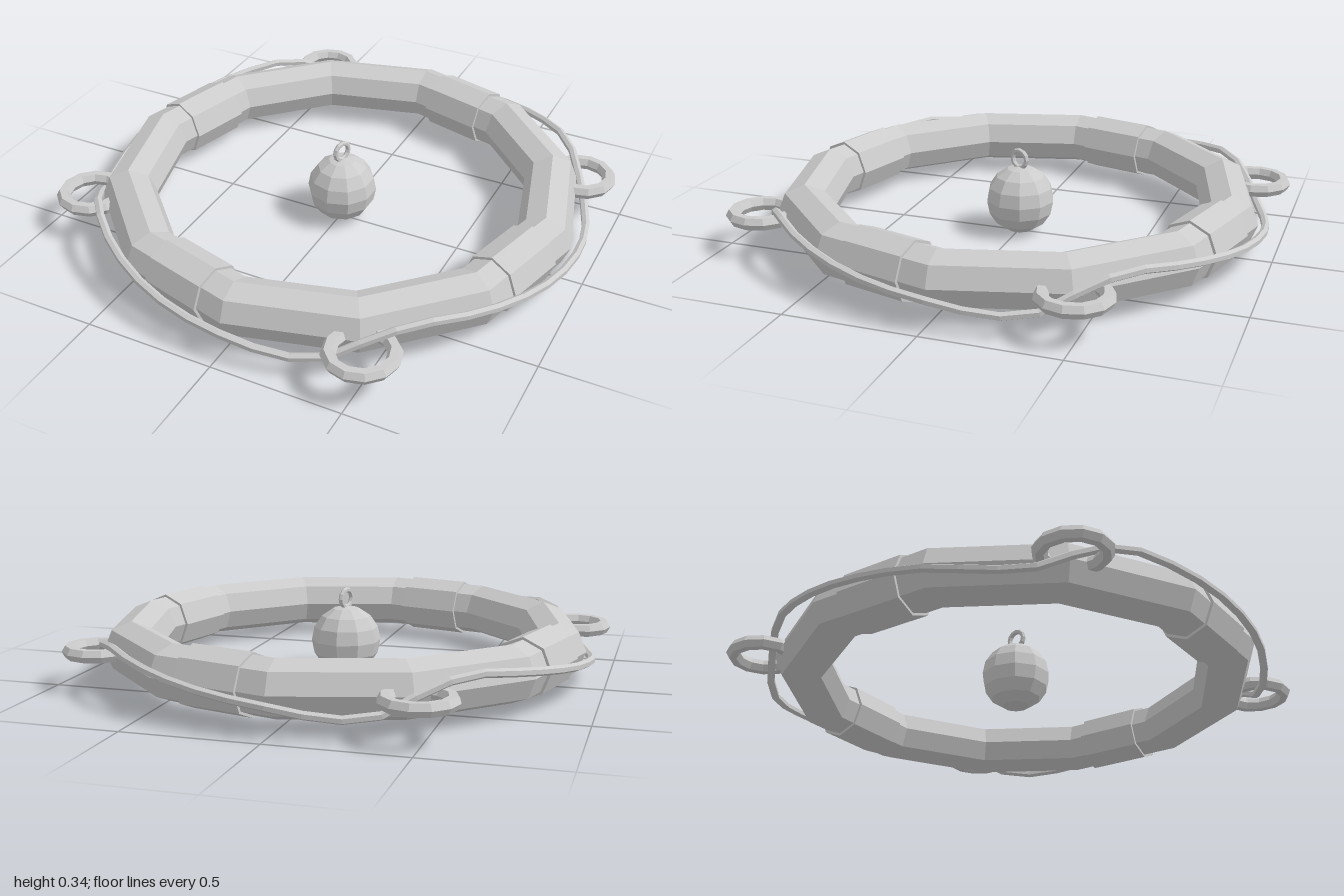
import * as THREE from 'three';

const mat = new THREE.MeshStandardMaterial({ color: 0xcccccc, flatShading: true });
const MID_Y = 0.142;
const RING_R = 0.83;
const TUBE_R = 0.105;

function add(parent, name, geometry) {
  const mesh = new THREE.Mesh(geometry, mat);
  mesh.name = name;
  parent.add(mesh);
  return mesh;
}

// One quarter of the grab rope: [degrees past a shackle, radius, height]
const ROPE_QUARTER = [
  [0, 0.945, 0.145], [6, 0.947, 0.185], [13, 0.948, 0.203], [24, 0.949, 0.185],
  [36, 0.951, 0.16], [48, 0.953, 0.135], [60, 0.954, 0.113], [72, 0.954, 0.083],
  [79, 0.953, 0.08], [85, 0.95, 0.1],
];

export function createModel() {
  const model = new THREE.Group();
  model.name = 'lifeRing';

  const ring = new THREE.Group();
  ring.name = 'floatAssembly';
  ring.position.set(0.005, 0, -0.006);
  model.add(ring);

  // Twelve-sided float
  const float = new THREE.TorusGeometry(RING_R, TUBE_R, 8, 12);
  float.rotateX(Math.PI / 2);
  add(ring, 'float', float).position.y = MID_Y;

  // Bands wrapped around the middle of four straight sections
  for (let i = 0; i < 4; i++) {
    const band = new THREE.CylinderGeometry(0.115, 0.115, 0.25, 8, 1);
    band.rotateZ(Math.PI / 2);
    band.scale(1, 1, 0.98);
    band.translate(0, 0, RING_R * Math.cos(Math.PI / 12));
    band.rotateY(-Math.PI / 12 + (i * Math.PI) / 2);
    add(ring, 'band', band).position.y = MID_Y;
  }

  // Shackles that hold the rope, starting at the front and going round by the left
  [0.99, 0.952, 0.978, 0.977].forEach((dist, i) => {
    const shackle = new THREE.TorusGeometry(0.112, 0.027, 6, 12);
    shackle.rotateX(Math.PI / 2);
    shackle.translate(0, 0, dist);
    shackle.rotateY(Math.PI / 6 + (i * Math.PI) / 2);
    add(ring, 'shackle', shackle).position.y = 0.143;
  });

  // Rope threading up through every shackle
  const points = [];
  for (let i = 0; i < 4; i++) {
    for (const [deg, r, y] of ROPE_QUARTER) {
      const a = THREE.MathUtils.degToRad(30 + deg + i * 90);
      points.push(new THREE.Vector3(r * Math.sin(a), y, r * Math.cos(a)));
    }
  }
  const path = new THREE.CatmullRomCurve3(points, true);
  add(ring, 'grabRope', new THREE.TubeGeometry(path, 48, 0.016, 6, true));

  // Ball floating in the centre, with a small eyelet on top
  const ball = new THREE.SphereGeometry(0.135, 10, 8);
  ball.rotateY(Math.PI / 2);
  add(model, 'ball', ball).position.set(0.003, 0.135, -0.008);

  const eyelet = add(model, 'eyelet', new THREE.TorusGeometry(0.034, 0.01, 6, 12));
  eyelet.position.set(0.003, 0.298, -0.005);
  eyelet.rotation.y = THREE.MathUtils.degToRad(70);

  return model;
}
